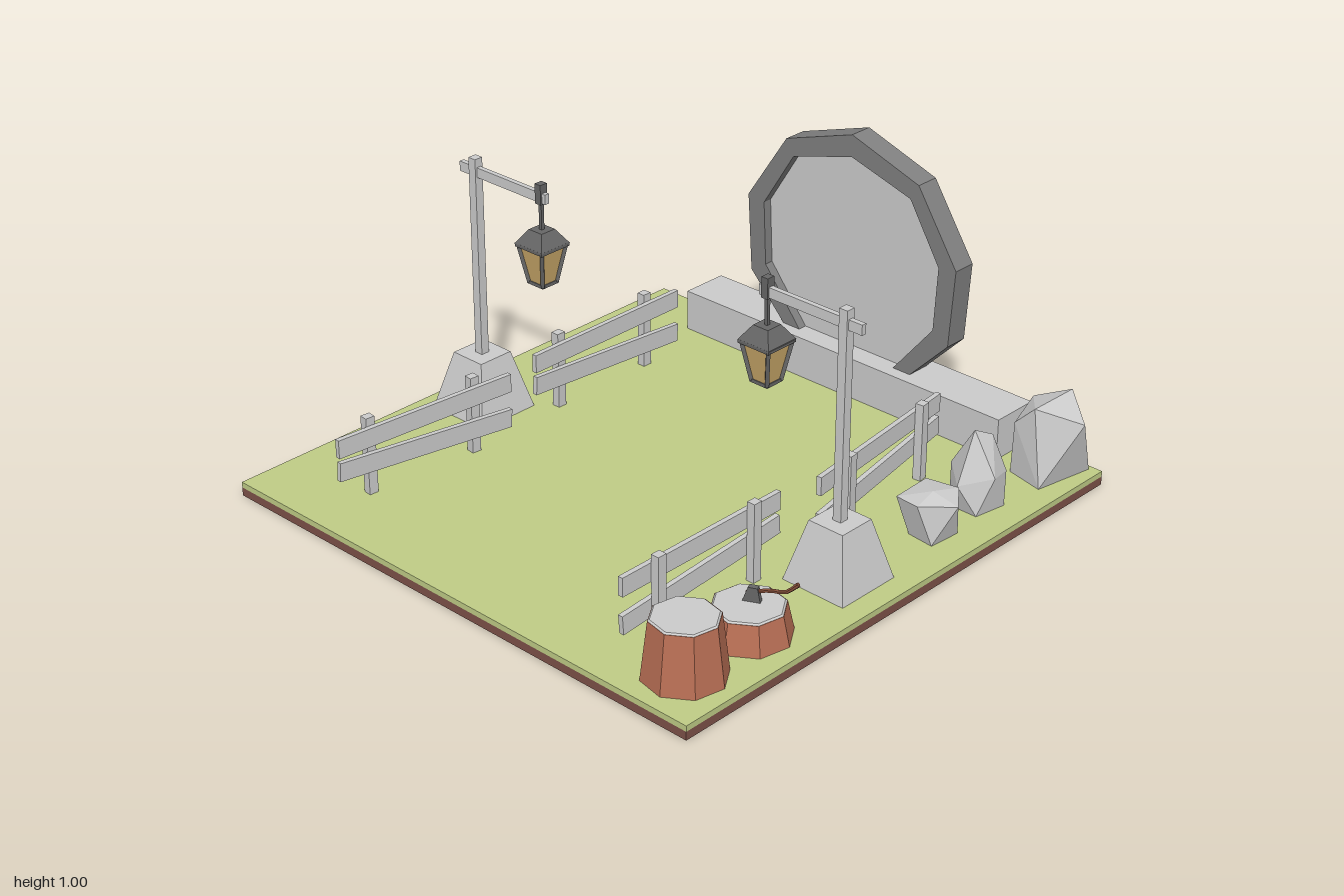
import * as THREE from 'three';
import { ConvexGeometry } from 'three/addons/geometries/ConvexGeometry.js';

const mat = (color) => new THREE.MeshStandardMaterial({ color, flatShading: true });
const grey = mat(0xcccccc), dark = mat(0x808080), iron = mat(0x666666), grass = mat(0xbfcc86);
const soil = mat(0x7d5148), bark = mat(0xb96f55), glass = mat(0xcdab6b), wood = mat(0x804c38);

function add(parent, name, geometry, material, x = 0, y = 0, z = 0) {
  const mesh = new THREE.Mesh(geometry, material);
  mesh.name = name;
  mesh.position.set(x, y, z);
  parent.add(mesh);
  return mesh;
}

function group(parent, name, x = 0, y = 0, z = 0) {
  const g = new THREE.Group();
  g.name = name;
  g.position.set(x, y, z);
  parent.add(g);
  return g;
}

const box = (w, h, d) => new THREE.BoxGeometry(w, h, d);

// Square frustum given half widths at the top and bottom
const frustum = (top, bottom, h) =>
  new THREE.CylinderGeometry(top * Math.SQRT2, bottom * Math.SQRT2, h, 4).rotateY(Math.PI / 4);

// Thin bar between two points
function bar(parent, name, a, b, r0, r1, material, sides = 4) {
  const from = new THREE.Vector3(...a), to = new THREE.Vector3(...b);
  const dir = to.clone().sub(from);
  const mesh = add(parent, name, new THREE.CylinderGeometry(r1, r0, dir.length(), sides), material);
  mesh.position.copy(from).addScaledVector(dir, 0.5);
  mesh.quaternion.setFromUnitVectors(new THREE.Vector3(0, 1, 0), dir.normalize());
  return mesh;
}

// Closed polygon from a right-hand half profile, extruded along z
const mirrored = (half) => [...half.slice(1).reverse().map(([x, y]) => [-x, y]), ...half];

function extrude(points, depth) {
  const shape = new THREE.Shape(points.map(([x, y]) => new THREE.Vector2(x, y)));
  return new THREE.ExtrudeGeometry(shape, { depth, bevelEnabled: false });
}

// Faceted ring standing on a plinth, with a panel filling it
function buildGate(root) {
  const g = group(root, 'gate');
  add(g, 'plinth', box(1.41, 0.15, 0.18), grey, -0.005, 0.125, -0.91);
  const outer = [[0, 1], [0.29, 0.903], [0.46, 0.645], [0.441, 0.36], [0.238, 0.15]];
  const inner = [[0, 0.92], [0.257, 0.845], [0.387, 0.635], [0.375, 0.4], [0.172, 0.15]];
  add(g, 'ring', extrude([...mirrored(outer), ...mirrored(inner).reverse()], 0.088), dark, -0.003, 0, -0.956);
  add(g, 'panel', extrude(mirrored(inner), 0.02), grey, -0.003, 0, -0.922);
}

// Lamp post with its arm reaching towards +x
function buildLamp(root, name, x, z, turn) {
  const g = group(root, name, x, 0, z);
  g.rotation.y = turn;
  add(g, 'base', frustum(0.068, 0.122, 0.21), grey, 0, 0.155, 0);
  add(g, 'post', box(0.032, 0.74, 0.032), grey, 0, 0.61, 0);
  add(g, 'arm', box(0.405, 0.035, 0.018), grey, 0.135, 0.932, 0);

  const lantern = group(g, 'lantern', 0.31, 0, 0);
  add(lantern, 'peg', box(0.026, 0.07, 0.03), iron, 0, 0.945, 0);
  add(lantern, 'hanger', box(0.012, 0.11, 0.012), iron, 0, 0.86, 0);
  add(lantern, 'roof', frustum(0.03, 0.064, 0.05), iron, 0, 0.793, 0);
  add(lantern, 'rim', box(0.126, 0.012, 0.126), iron, 0, 0.764, 0);
  add(lantern, 'glass', frustum(0.054, 0.032, 0.13), glass, 0, 0.695, 0);
  add(lantern, 'foot', box(0.072, 0.012, 0.072), iron, 0, 0.63, 0);
  for (const sx of [-1, 1]) for (const sz of [-1, 1])
    bar(lantern, 'frameBar', [sx * 0.032, 0.63, sz * 0.032], [sx * 0.055, 0.764, sz * 0.055], 0.009, 0.009, iron);
}

// Two rails along z, posts on the -x side, lower rail slipped
function buildFence(root, name, x, z, turn) {
  const g = group(root, name, x, 0, z);
  g.rotation.y = turn;
  add(g, 'upperRail', box(0.018, 0.066, 0.695), grey, 0, 0.268, 0);
  add(g, 'lowerRail', box(0.018, 0.066, 0.695), grey, 0, 0.16, 0).rotation.x = -0.07;
  for (const s of [-1, 1]) add(g, 'post', box(0.03, 0.28, 0.034), grey, -0.024, 0.19, s * 0.21);
}

function buildStump(root, name, x, z, h, top, bottom) {
  const g = group(root, name, x, 0.05, z);
  const turn = Math.PI / 16;
  add(g, 'bark', new THREE.CylinderGeometry(top, bottom, h, 8), bark, 0, h / 2, 0).rotation.y = turn;
  add(g, 'cutTop', new THREE.CylinderGeometry(top * 0.94, top, 0.006, 8), grey, 0, h + 0.002, 0).rotation.y = turn;
  return g;
}

// Axe stuck in the low stump
function buildAxe(root) {
  const g = group(root, 'axe');
  const path = new THREE.CatmullRomCurve3([
    new THREE.Vector3(0.785, 0.18, 0.512), new THREE.Vector3(0.85, 0.198, 0.48),
    new THREE.Vector3(0.895, 0.203, 0.46), new THREE.Vector3(0.925, 0.232, 0.442)]);
  add(g, 'handle', new THREE.TubeGeometry(path, 8, 0.007, 6), wood);
  bar(g, 'handleEnd', [0.918, 0.224, 0.446], [0.927, 0.234, 0.441], 0.008, 0.008, wood, 6);
  const blade = extrude([[-0.035, -0.025], [0.028, -0.025], [0.016, 0.036], [-0.014, 0.036]], 0.02);
  add(g, 'head', blade, iron, 0.8, 0.168, 0.495).rotation.y = 0.45;
}

// Faceted rocks: a few corners each
const rocks = {
  blockRock: [
    [0.87, 0.32, -0.78], [0.88, 0.325, -0.97], [1, 0.27, -0.88], [0.755, 0.27, -0.93], [0.79, 0.24, -0.785],
    [0.76, 0.05, -0.93], [0.96, 0.05, -0.98], [0.92, 0.05, -0.758], [0.78, 0.05, -0.79], [0.87, 0.05, -0.99]],
  tallRock: [
    [0.82, 0.325, -0.53], [0.84, 0.29, -0.6], [0.725, 0.17, -0.54], [0.91, 0.18, -0.53], [0.82, 0.15, -0.452],
    [0.78, 0.17, -0.635], [0.88, 0.16, -0.63], [0.77, 0.05, -0.48], [0.88, 0.05, -0.48], [0.81, 0.05, -0.66],
    [0.9, 0.05, -0.6], [0.75, 0.05, -0.58]],
  lowRock: [
    [0.75, 0.18, -0.23], [0.85, 0.19, -0.21], [0.935, 0.18, -0.31], [0.87, 0.19, -0.395], [0.745, 0.18, -0.385],
    [0.84, 0.205, -0.3], [0.79, 0.05, -0.25], [0.89, 0.05, -0.24], [0.9, 0.05, -0.36], [0.79, 0.05, -0.37]],
};

export function createModel() {
  const root = new THREE.Group();
  root.name = 'courtyard';

  // Ground slab
  add(root, 'soil', box(2, 0.03, 2), soil, 0, 0.015, 0);
  add(root, 'grass', box(2, 0.02, 2), grass, 0, 0.04, 0);

  buildGate(root);
  buildLamp(root, 'rightLamp', -0.81, 0.095, 0);
  buildLamp(root, 'leftLamp', 0.8, 0.105, Math.PI);

  buildFence(root, 'rightFrontFence', -0.602, 0.54, -0.094);
  buildFence(root, 'rightBackFence', -0.605, -0.302, 0);
  buildFence(root, 'leftFrontFence', 0.593, 0.502, Math.PI);
  buildFence(root, 'leftBackFence', 0.59, -0.338, Math.PI + 0.115);

  buildStump(root, 'tallStump', 0.82, 0.815, 0.2, 0.112, 0.136);
  buildStump(root, 'lowStump', 0.807, 0.525, 0.1, 0.12, 0.142);
  buildAxe(root);

  for (const [name, corners] of Object.entries(rocks))
    add(root, name, new ConvexGeometry(corners.map((c) => new THREE.Vector3(...c))), grey);

  return root;
}
